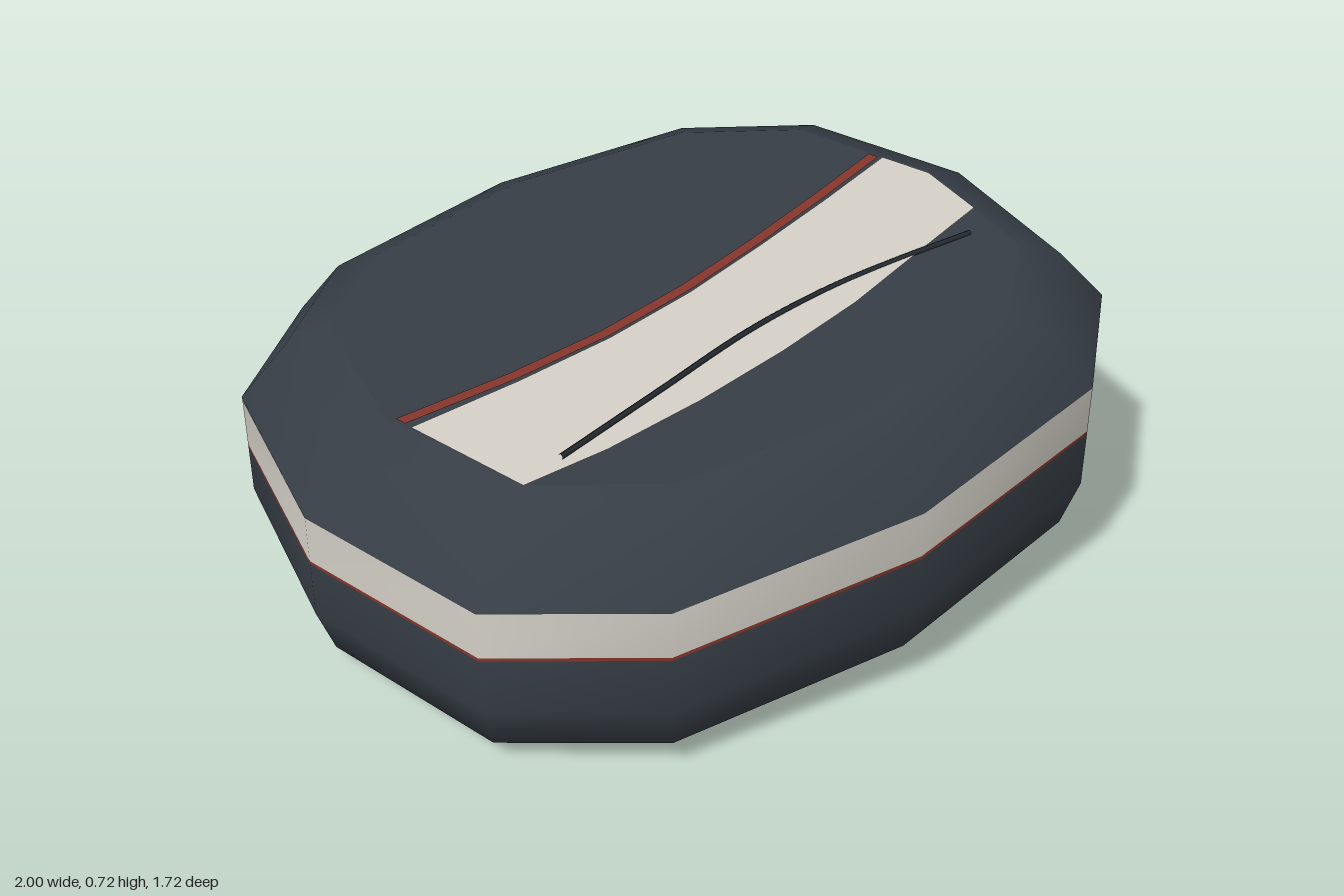
import * as THREE from 'three';

const SLOPE = 0.0755; // the whole body leans up towards +x
const SIDES = 12;
// twelve-sided plan, starting at +x and turning through the front (+z)
const QUARTER = [[1, 0], [0.89, 0.512], [0.59, 0.77], [0, 0.86]];
const PLAN = [
  ...QUARTER,
  ...QUARTER.slice(0, 3).reverse().map(([x, z]) => [-x, z]),
  ...QUARTER.slice(1).map(([x, z]) => [-x, -z]),
  ...QUARTER.slice(1, 3).reverse().map(([x, z]) => [x, -z]),
];
const BOTTOM = 0.06, TOP = 0.658, CAP = 0.79;

const paint = (name, color) => {
  const m = new THREE.MeshStandardMaterial({ color });
  m.name = name;
  return m;
};

// lean a geometry: y grows with x
function lean(geometry) {
  const p = geometry.attributes.position;
  for (let i = 0; i < p.count; i++) p.setY(i, p.getY(i) + SLOPE * p.getX(i));
  geometry.computeVertexNormals();
  return geometry;
}

// flat sheet from [x, z] points, facing up or down
function sheet(points, y, up) {
  const shape = new THREE.Shape(points.map(([x, z]) => new THREE.Vector2(x, up ? -z : z)));
  const g = new THREE.ShapeGeometry(shape);
  g.rotateX(up ? -Math.PI / 2 : Math.PI / 2);
  g.translate(0, y, 0);
  return lean(g);
}

// lower edge of the painted band, drifting down along the back
function bandHeight(i) {
  const keys = [0.37, 0.383, 0.38, 0.335, 0.285];
  const t = (i / SIDES) * 4, k = Math.min(3, Math.floor(t));
  return THREE.MathUtils.lerp(keys[k], keys[k + 1], t - k);
}

// rounded side wall lofted row by row, each row with its own colour
function sideWall() {
  const pos = [], index = [];
  const rowsOf = (i) => {
    const b = bandHeight(i);
    return [[CAP, BOTTOM], [0.96, 0.12], [1, 0.235], [1, b - 0.008], [1, b],
      [1, Math.min(b + 0.12, 0.494)], [1, 0.496], [0.89, 0.622], [CAP, TOP]];
  };
  const rows = rowsOf(0).length;
  for (let i = 0; i <= SIDES; i++) {
    const [x, z] = PLAN[i % SIDES];
    for (const [s, y] of rowsOf(i)) pos.push(x * s, y, z * s);
  }
  const g = new THREE.BufferGeometry();
  g.setAttribute('position', new THREE.Float32BufferAttribute(pos, 3));
  const rowPaint = [0, 0, 0, 1, 2, 0, 0, 0];
  for (let j = 0; j < rows - 1; j++) {
    g.addGroup(index.length, SIDES * 6, rowPaint[j]);
    for (let i = 0; i < SIDES; i++) {
      const a = i * rows + j, b = a + rows;
      index.push(a, a + 1, b, b, a + 1, b + 1);
    }
  }
  g.setIndex(index);
  lean(g);
  // smooth the seam where the loop closes
  const n = g.attributes.normal, u = new THREE.Vector3(), v = new THREE.Vector3();
  for (let j = 0; j < rows; j++) {
    const k = SIDES * rows + j;
    u.fromBufferAttribute(n, j).add(v.fromBufferAttribute(n, k)).normalize();
    n.setXYZ(j, u.x, u.y, u.z);
    n.setXYZ(k, u.x, u.y, u.z);
  }
  return g;
}

export function createModel() {
  const group = new THREE.Group();
  const slate = paint('slate', 0x363d45);
  const cream = paint('cream', 0xd2cec5);
  const red = paint('brick red', 0x83352b);
  const ink = paint('dark ink', 0x252b31);
  const add = (name, geometry, material) => {
    const mesh = new THREE.Mesh(geometry, material);
    mesh.name = name;
    group.add(mesh);
  };

  add('sideWall', sideWall(), [slate, red, cream]);

  // swept stripe and its thin red companion
  const stripe = [[-0.77, 0.08], [-0.5, 0.087], [-0.25, 0.08], [0, 0.047], [0.25, -0.008],
    [0.5, -0.07], [0.755, -0.14], [0.784, 0], [0.745, 0.205], [0.5, 0.27], [0.25, 0.338],
    [0, 0.383], [-0.25, 0.413], [-0.5, 0.425], [-0.702, 0.413]];
  const redTop = [[-0.777, 0.03], [-0.5, 0.048], [-0.25, 0.043], [0, 0.01], [0.25, -0.045],
    [0.5, -0.11], [0.742, -0.178]];
  const redLine = [...redTop, ...redTop.map(([x, z]) => [x + 0.005, z + 0.029]).reverse()];
  const cap = PLAN.map(([x, z]) => [x * CAP, z * CAP]);

  // the same flat faces above and below
  for (const up of [true, false]) {
    const side = up ? 'top' : 'bottom';
    const y = up ? TOP : BOTTOM, lift = up ? 0.003 : -0.003;
    add(side + 'Cap', sheet(cap, y, up), slate);
    add(side + 'Stripe', sheet(stripe, y + lift, up), cream);
    add(side + 'RedLine', sheet(redLine, y + lift, up), red);
  }

  // slim raised arc crossing the top stripe
  const path = new THREE.CatmullRomCurve3(
    [[-0.595, 0.39], [-0.3, 0.33], [0, 0.27], [0.25, 0.252], [0.45, 0.262], [0.655, 0.284]]
      .map(([x, z]) => new THREE.Vector3(x, TOP + 0.006 - 0.006 * x, z)));
  add('topArc', lean(new THREE.TubeGeometry(path, 32, 0.007, 6)), ink);

  return group;
}
